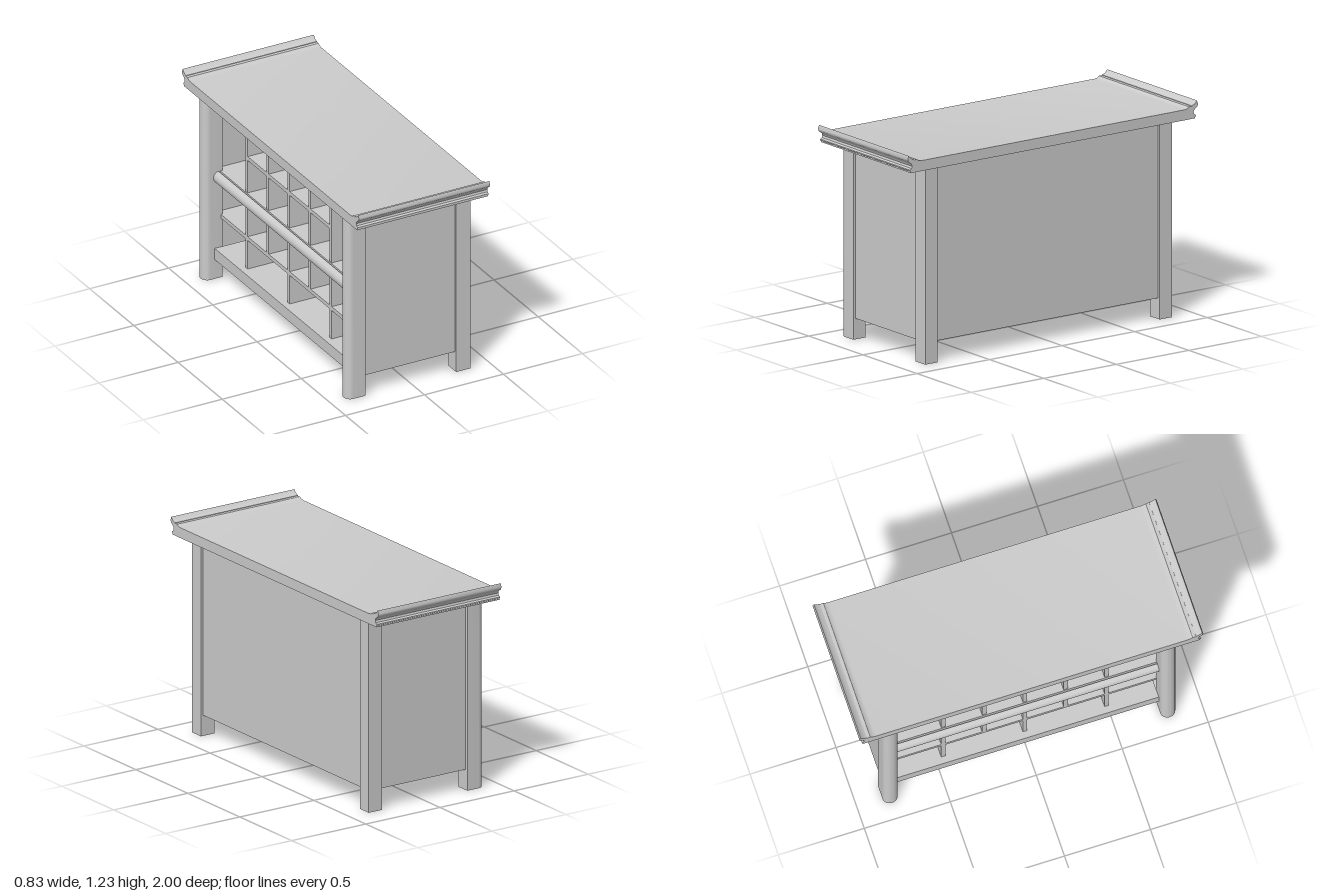
import * as THREE from 'three';
import { toCreasedNormals } from 'three/addons/utils/BufferGeometryUtils.js';

export function createModel() {
  const model = new THREE.Group();
  const mat = new THREE.MeshStandardMaterial({ color: 0xcccccc });

  const add = (name, geo) => {
    const mesh = new THREE.Mesh(geo, mat);
    mesh.name = name;
    model.add(mesh);
    return mesh;
  };
  // Box given by its limits on each axis
  const box = (name, x0, x1, y0, y1, z0, z1) =>
    add(name, new THREE.BoxGeometry(x1 - x0, y1 - y0, z1 - z0)
      .translate((x0 + x1) / 2, (y0 + y1) / 2, (z0 + z1) / 2));
  const extrude = (shape, depth) => toCreasedNormals(
    new THREE.ExtrudeGeometry(shape, { depth, bevelEnabled: false, curveSegments: 12 }), 0.6);

  const top = 1.125, base = 0.12, legIn = 0.765, legOut = 0.85;

  // Table top with upturned, moulded ends; one half profile is mirrored
  const half = [
    [0.98, 1.125], [0.98, 1.133], [0.985, 1.136], [0.985, 1.143], [0.974, 1.15], [0.97, 1.162],
    [0.974, 1.174], [0.987, 1.184], [0.997, 1.193], [1.0, 1.205], [0.993, 1.225],
    [0.978, 1.208], [0.957, 1.2], [0.957, 1.197], [0.937, 1.197], [0.925, 1.188], [0.905, 1.185],
  ];
  const profile = [...half, ...half.map(([z, y]) => [-z, y]).reverse()];
  const topShape = new THREE.Shape(profile.map(([z, y]) => new THREE.Vector2(z, y)));
  add('tableTop', extrude(topShape, 0.83).rotateY(Math.PI / 2).translate(-0.415, 0, 0));

  // Legs: square on the closed side, rounded on the open side
  const w = (legOut - legIn) / 2;
  const roundLeg = new THREE.Shape();
  roundLeg.moveTo(-0.29, w);
  roundLeg.lineTo(-0.368, w);
  roundLeg.absellipse(-0.368, 0, 0.037, w, Math.PI / 2, Math.PI * 1.5, false);
  roundLeg.lineTo(-0.29, -w);
  for (const s of [-1, 1]) {
    const zc = s * (legIn + legOut) / 2;
    box('squareLeg', 0.285, 0.375, 0, top, zc - w, zc + w);
    add('roundLeg', extrude(roundLeg, top).rotateX(-Math.PI / 2).translate(0, 0, zc));
    const a = s * 0.805, b = s * 0.835;
    box('endPanel', -0.295, 0.29, base, top, Math.min(a, b), Math.max(a, b));
  }

  // Closed long side and bottom board
  box('sidePanel', 0.33, 0.36, base, top, -0.77, 0.77);
  box('bottomBoard', -0.34, 0.33, base, 0.19, -legIn, legIn);
  box('bottomCore', -0.29, 0.33, base, 0.15, -0.806, 0.806);

  // Middle board with a rounded rail on its open edge
  box('middleBoard', -0.305, 0.33, 0.635, 0.665, -0.806, 0.806);
  const railShape = new THREE.Shape();
  railShape.moveTo(-0.3, 0.665);
  railShape.absellipse(-0.315, 0.63, 0.032, 0.035, Math.PI / 2, Math.PI * 1.5, false);
  railShape.lineTo(-0.3, 0.595);
  add('middleRail', extrude(railShape, 2 * legIn).translate(0, 0, -legIn));

  // Pigeonhole dividers and shelves
  const front = -0.3, back = 0.33, t = 0.012;
  const divider = (z, y0, y1) => box('divider', front, back, y0, y1, z - t, z + t);
  const shelf = (y, z0, z1) => box('shelf', front, back, y - t, y + t, z0, z1);
  for (const z of [-0.475, -0.237, 0, 0.237, 0.475]) divider(z, 0.66, top);
  for (const z of [-0.475, 0, 0.475]) divider(z, 0.185, 0.64);
  for (const z of [-0.237, 0.237]) divider(z, 0.39, 0.64);
  shelf(0.88, -0.475, 0.475);
  shelf(0.38, -0.806, 0.806);

  return model;
}
